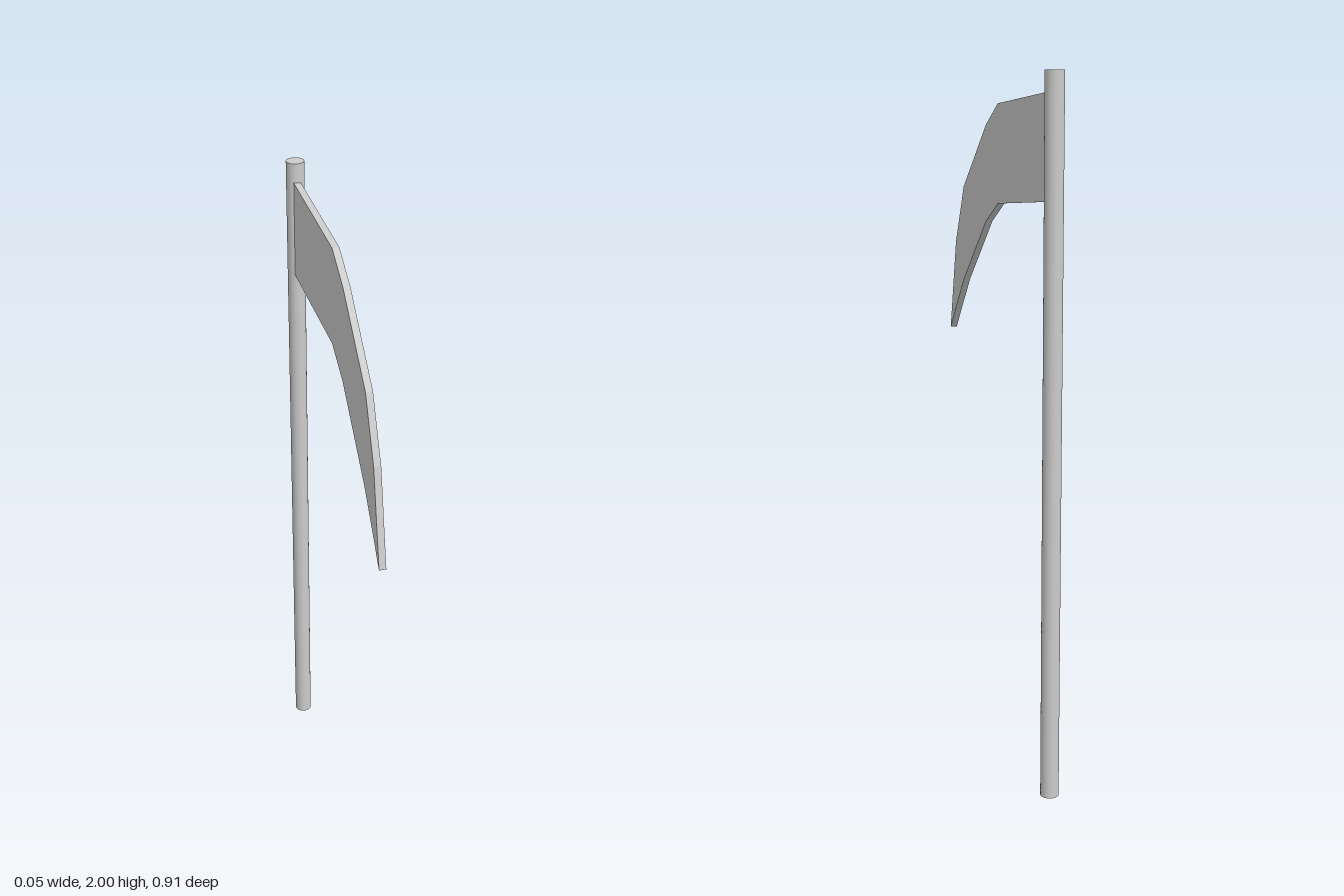
import * as THREE from 'three';

export function createModel() {
  const group = new THREE.Group();
  const material = new THREE.MeshStandardMaterial({ color: 0xcccccc });

  // Upright round pole
  const pole = new THREE.Mesh(new THREE.CylinderGeometry(0.026, 0.026, 2, 32), material);
  pole.name = 'pole';
  pole.position.set(0, 1, -0.428);
  group.add(pole);

  // Blade cross-sections from pole to tip: z, top y, bottom y, centre x
  const sections = [
    [-0.428, 1.947, 1.667, -0.001],
    [-0.025, 1.908, 1.63, 0.01],
    [0.085, 1.845, 1.57, 0.01],
    [0.305, 1.655, 1.375, 0.01],
    [0.39, 1.48, 1.278, 0.01],
    [0.454, 1.204, 1.201, 0.01],
  ];
  const steps = sections.length - 1;

  // A segmented box whose slices are fitted to the cross-sections
  const box = new THREE.BoxGeometry(0.02, 1, 1, 1, 1, steps);
  const p = box.attributes.position;
  for (let i = 0; i < p.count; i++) {
    const [z, top, bottom, x] = sections[Math.round((p.getZ(i) + 0.5) * steps)];
    p.setXYZ(i, p.getX(i) + x, p.getY(i) > 0 ? top : bottom, z);
  }
  const bladeGeometry = box.toNonIndexed();
  bladeGeometry.computeVertexNormals();
  const blade = new THREE.Mesh(bladeGeometry, material);
  blade.name = 'blade';
  group.add(blade);

  return group;
}
